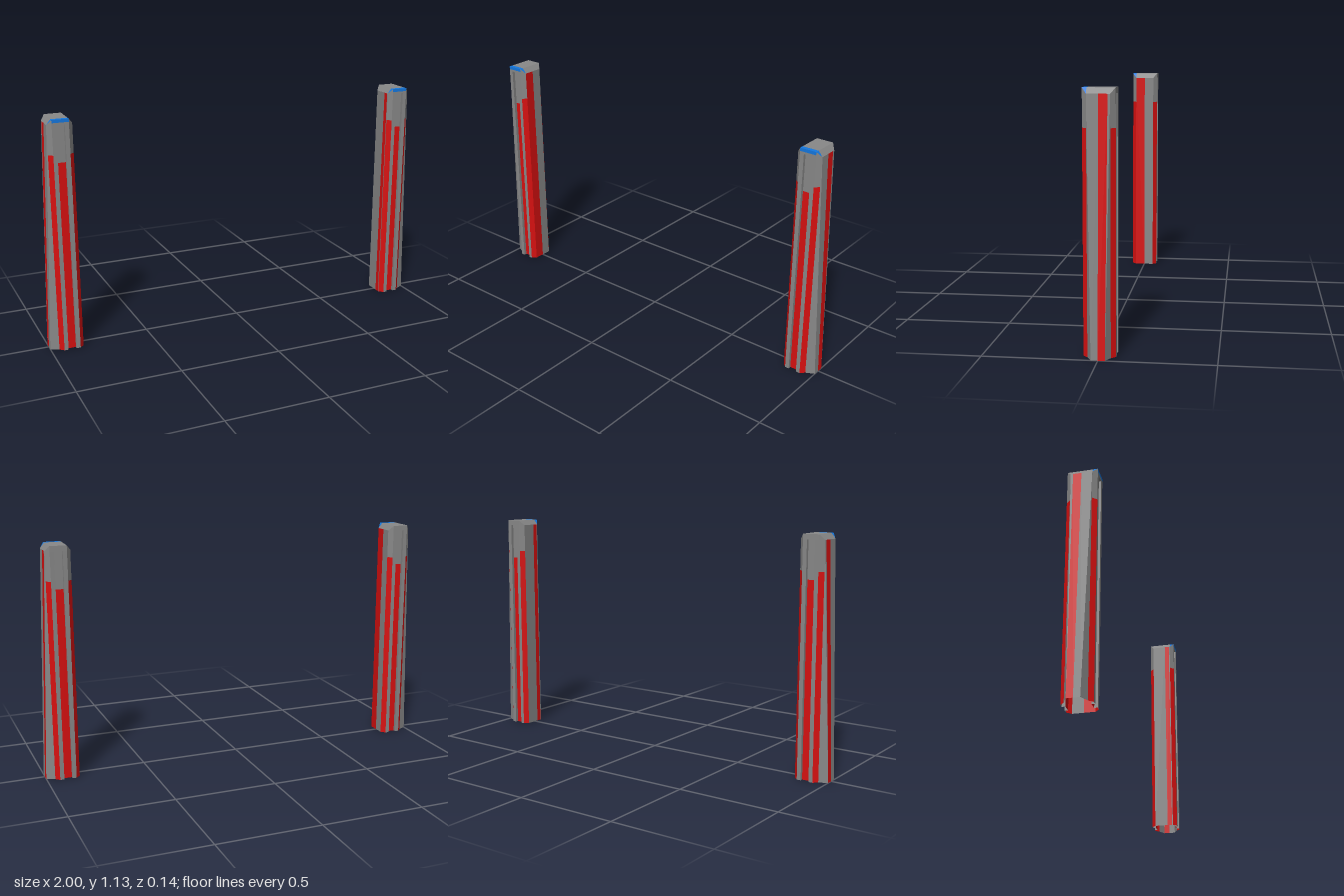
import * as THREE from 'three';

const grey = new THREE.MeshStandardMaterial({ name: 'grey', color: 0x888888, side: THREE.DoubleSide });
const red = new THREE.MeshStandardMaterial({ name: 'red', color: 0xd81010, side: THREE.DoubleSide });
const blue = new THREE.MeshStandardMaterial({ name: 'blue', color: 0x1478e0, side: THREE.DoubleSide });

const TOP = 1.135, SHOULDER = 1.11;

// One open-bottomed post; side = 1 is the left post, -1 its mirror image
function createPost(side) {
  const parts = {};

  // Flat convex panel, corners counter-clockwise seen from outside
  function panel(name, material, ...corners) {
    const part = parts[name] ??= { material, positions: [] };
    for (let i = 1; i < corners.length - 1; i++) {
      const tri = [corners[0], corners[i], corners[i + 1]];
      if (side < 0) tri.reverse();
      for (const [x, y, z] of tri) part.positions.push(side * x, y, z);
    }
  }

  // Vertical wall from a to b (each [x, z]) with its own top height at each end
  function wall(name, material, a, b, y0, ya, yb = ya) {
    panel(name, material, [a[0], y0, a[1]], [b[0], y0, b[1]], [b[0], yb, b[1]], [a[0], ya, a[1]]);
  }

  // Front and back: chamfered corners and a recessed centre groove
  for (const f of [1, -1]) {
    const w = (name, mat, a, b, y0, ya, yb = ya) => f > 0
      ? wall(name, mat, a, b, y0, ya, yb)
      : wall(name, mat, [b[0], -b[1]], [a[0], -a[1]], y0, yb, ya);
    const inner = [0.84, 0.05], outer = [0.96, 0.05];
    const faceIn = [0.86, 0.07], faceOut = [0.94, 0.07];
    const grooveIn = [0.88, 0.07], grooveOut = [0.92, 0.07];
    const floorIn = [0.88, 0.055], floorOut = [0.92, 0.055];

    w('cornerStripes', red, inner, faceIn, 0, 0.97);
    w('body', grey, inner, faceIn, 0.97, SHOULDER, TOP);
    w('cornerStripes', red, faceOut, outer, 0, 0.97);
    w('body', grey, faceOut, outer, 0.97, TOP, SHOULDER);
    w('body', grey, faceIn, grooveIn, 0, SHOULDER);
    w('body', grey, grooveOut, faceOut, 0, SHOULDER);
    w('body', grey, grooveIn, floorIn, 0, SHOULDER);
    w('body', grey, floorOut, grooveOut, 0, SHOULDER);
    w('grooveStripes', red, floorIn, floorOut, 0, 0.93);
    w('body', grey, floorIn, floorOut, 0.93, SHOULDER);
    w('body', grey, faceIn, faceOut, SHOULDER, 1.12);
    w(f > 0 ? 'topTrim' : 'body', f > 0 ? blue : grey, faceIn, faceOut, 1.12, TOP);

    // Groove ceiling
    const ceiling = [[0.88, SHOULDER, f * 0.055], [0.92, SHOULDER, f * 0.055],
      [0.92, SHOULDER, f * 0.07], [0.88, SHOULDER, f * 0.07]];
    panel('body', grey, ...(f > 0 ? ceiling : ceiling.reverse()));

    // Flank of the tapering outer buttress
    const flank = [[0.96, 0, f * 0.05], [1, 0, f * 0.03], [0.96, SHOULDER, f * 0.05]];
    panel('buttress', grey, ...(f > 0 ? flank : flank.reverse()));
  }

  // Sloping outer face: grey front half, red stripe, grey rear edge
  panel('buttress', grey, [1, 0, 0.03], [1, 0, 0], [0.96, SHOULDER, 0], [0.96, SHOULDER, 0.05]);
  panel('outerStripe', red, [1, 0, 0], [1, 0, -0.03], [0.96, SHOULDER, -0.039], [0.96, SHOULDER, 0]);
  panel('buttress', grey, [1, 0, -0.03], [0.96, SHOULDER, -0.05], [0.96, SHOULDER, -0.039]);

  // Vertical inner face with its stripe
  const [s0, s1] = side < 0 ? [0, 0.05] : [0.02, 0.045];
  wall('body', grey, [0.84, -0.05], [0.84, s0], 0, SHOULDER);
  wall('innerStripe', red, [0.84, s0], [0.84, s1], 0, SHOULDER);
  if (s1 < 0.05) wall('body', grey, [0.84, s1], [0.84, 0.05], 0, SHOULDER);

  // Cap: flat top with a blue front edge, sloping to both sides
  panel('cap', grey, [0.86, TOP, 0.05], [0.94, TOP, 0.05], [0.94, TOP, -0.07], [0.86, TOP, -0.07]);
  panel('topTrim', blue, [0.86, TOP, 0.07], [0.94, TOP, 0.07], [0.94, TOP, 0.05], [0.86, TOP, 0.05]);
  panel('cap', grey, [0.96, SHOULDER, 0.05], [0.96, SHOULDER, -0.05], [0.94, TOP, -0.07], [0.94, TOP, 0.05]);
  panel('topTrim', blue, [0.96, SHOULDER, 0.05], [0.94, TOP, 0.05], [0.94, TOP, 0.07]);
  panel('cap', grey, [0.84, SHOULDER, -0.05], [0.84, SHOULDER, 0.05], [0.86, TOP, 0.05], [0.86, TOP, -0.07]);
  panel('topTrim', blue, [0.84, SHOULDER, 0.05], [0.86, TOP, 0.07], [0.86, TOP, 0.05]);

  const post = new THREE.Group();
  post.name = side > 0 ? 'leftPost' : 'rightPost';
  for (const [name, { material, positions }] of Object.entries(parts)) {
    const geometry = new THREE.BufferGeometry();
    geometry.setAttribute('position', new THREE.Float32BufferAttribute(positions, 3));
    geometry.computeVertexNormals();
    const mesh = new THREE.Mesh(geometry, material);
    mesh.name = name;
    post.add(mesh);
  }
  return post;
}

export function createModel() {
  const model = new THREE.Group();
  model.name = 'gatePosts';
  for (const side of [1, -1]) model.add(createPost(side));
  return model;
}
